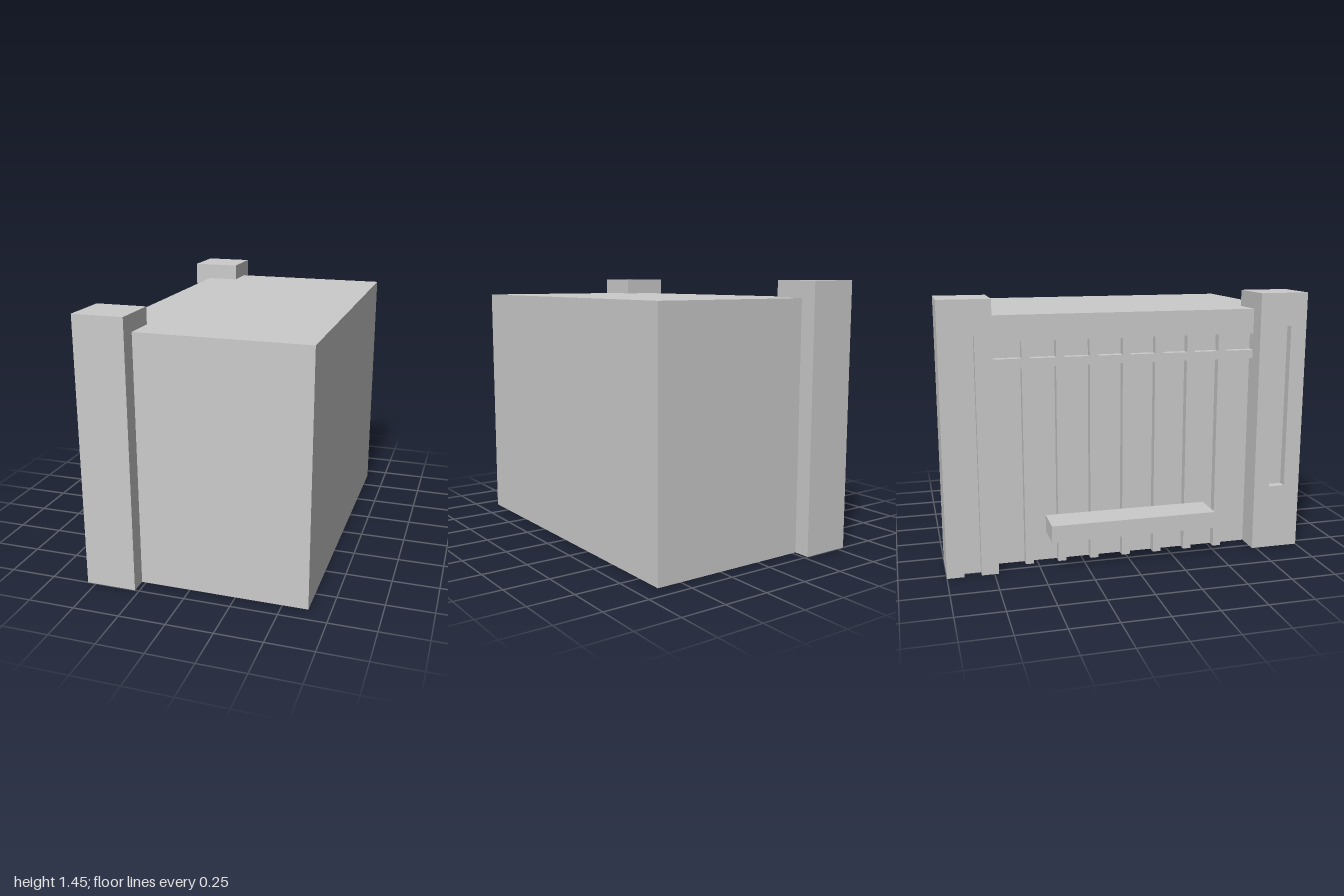
import * as THREE from 'three';

const U = 1 / 11; // building module
const material = new THREE.MeshStandardMaterial({ color: 0xcccccc, flatShading: true });

function addMesh(parent, name, geometry) {
  const mesh = new THREE.Mesh(geometry, material);
  mesh.name = name;
  parent.add(mesh);
  return mesh;
}

// Box given by its limits, in modules
function box(parent, name, [x0, x1], [y0, y1], [z0, z1]) {
  const g = new THREE.BoxGeometry((x1 - x0) * U, (y1 - y0) * U, (z1 - z0) * U);
  g.translate(((x0 + x1) / 2) * U, ((y0 + y1) / 2) * U, ((z0 + z1) / 2) * U);
  return addMesh(parent, name, g);
}

function points(list) {
  return list.map(([z, y]) => new THREE.Vector2(z * U, y * U));
}

function rect(z0, z1, y0, y1) {
  return [[z0, y0], [z1, y0], [z1, y1], [z0, y1]];
}

// Upright panel drawn in (z, y), running from x = backX towards -x
function panel(parent, name, outline, holes, backX, depth) {
  const shape = new THREE.Shape(points(outline));
  for (const hole of holes) shape.holes.push(new THREE.Path(points(hole)));
  const g = new THREE.ExtrudeGeometry(shape, { depth: depth * U, bevelEnabled: false });
  g.rotateY(-Math.PI / 2);
  g.translate(backX * U, 0, 0);
  return addMesh(parent, name, g);
}

export function createModel() {
  const model = new THREE.Group();
  model.name = 'building';

  // Main block; its -x wall is the back of the recessed bays
  box(model, 'mainBlock', [-4.5, 7], [0, 15], [-10, 10]);

  // Facade: eight bays between slim columns, each with a small window on top
  const outline = [[9, 0], [9, 15], [-9, 15], [-9, 0]];
  const windows = [];
  for (let i = 0; i < 8; i++) {
    const z0 = i === 0 ? -8 : -8 + 2 * i + 0.25;
    const z1 = i === 7 ? 8 : -6 + 2 * i - 0.25;
    outline.push([z0, 0], [z0, 12], [z1, 12], [z1, 0]);
    windows.push(rect(z0, z1, 12.5, 13.5));
  }
  panel(model, 'facadeScreen', outline, windows, -4.5, 0.5);

  // Corner piers with a vertical slot in the face
  for (const side of [-1, 1]) {
    const pier = new THREE.Group();
    pier.name = side < 0 ? 'rearPier' : 'frontPier';
    model.add(pier);
    const z0 = side < 0 ? -11 : 8;
    box(pier, 'pierCore', [-5.5, -3], [0, 16], [z0, z0 + 3]);
    if (side > 0) {
      panel(pier, 'pierFace', rect(z0, z0 + 3, 0, 16), [rect(z0 + 1, z0 + 2, 4, 14)], -5.5, 0.5);
    } else {
      // This slot runs down to the ground
      panel(pier, 'pierFace', [[z0, 0], [z0 + 1, 0], [z0 + 1, 14], [z0 + 2, 14], [z0 + 2, 0],
        [z0 + 3, 0], [z0 + 3, 16], [z0, 16]], [], -5.5, 0.5);
    }
  }

  // Projecting ledge across the middle columns
  box(model, 'ledge', [-7, -5], [2, 3], [-5, 5]);

  return model;
}
